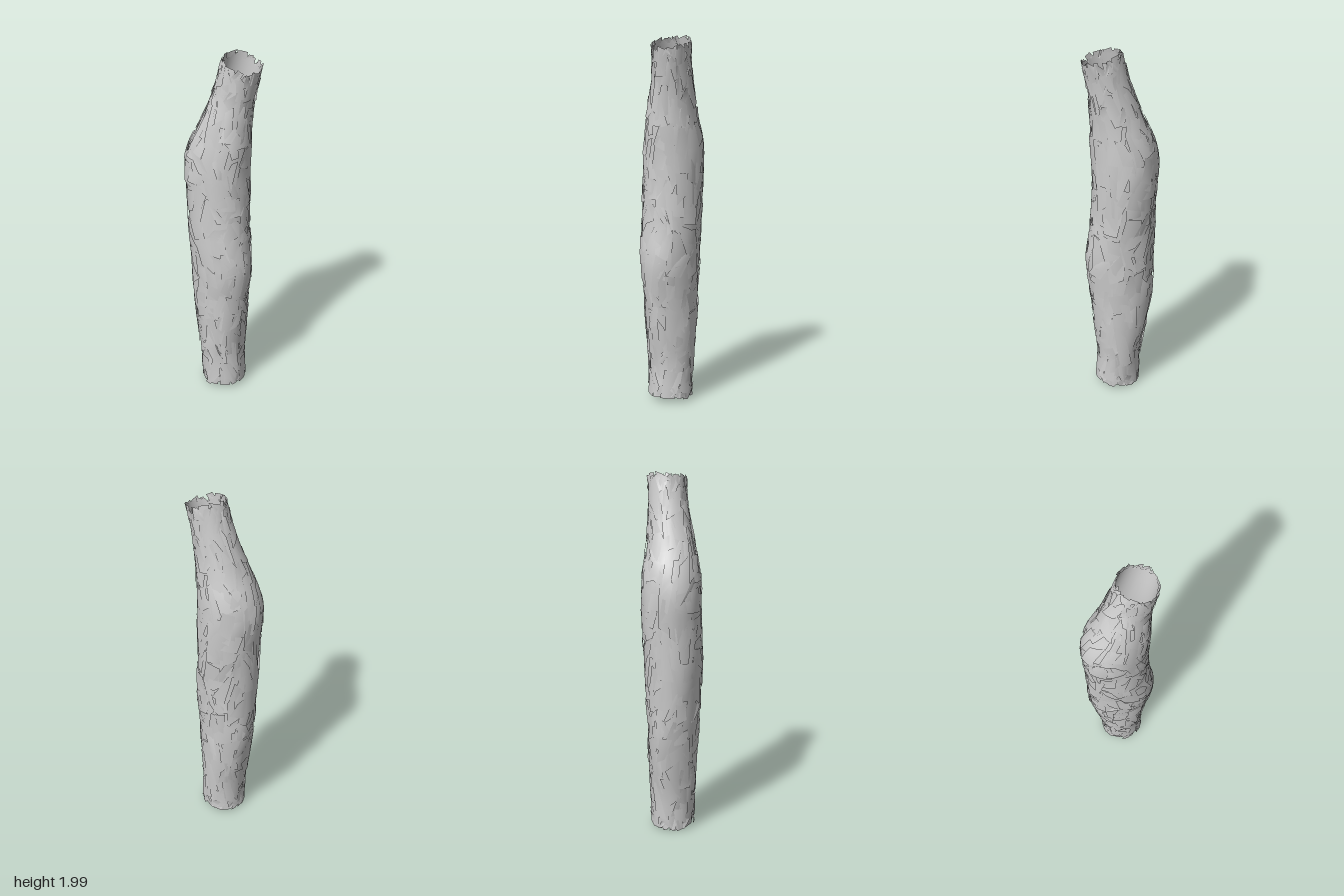
import * as THREE from 'three';
import { mergeGeometries, mergeVertices } from 'three/addons/utils/BufferGeometryUtils.js';

// Limits of the cross-section at each height: y, xMin, xMax, zMin, zMax
const rows = [
  [0, -0.11, 0.13, -0.105, 0.14], [0.2, -0.12, 0.135, -0.115, 0.13],
  [0.4, -0.13, 0.14, -0.15, 0.15], [0.6, -0.14, 0.143, -0.18, 0.172],
  [0.8, -0.152, 0.15, -0.187, 0.192], [1.0, -0.163, 0.157, -0.19, 0.165],
  [1.2, -0.158, 0.165, -0.192, 0.153], [1.4, -0.152, 0.164, -0.195, 0.155],
  [1.5, -0.138, 0.158, -0.175, 0.158], [1.6, -0.115, 0.15, -0.135, 0.156],
  [1.8, -0.065, 0.15, -0.065, 0.168], [2.0, -0.042, 0.165, -0.01, 0.197],
];
const profile = new THREE.CubicInterpolant(rows.map(r => r[0]), rows.flatMap(r => r.slice(1)), 4);

let seed = 7;
function rand(lo = 0, hi = 1) {
  seed = (seed * 16807) % 2147483647;
  return lo + (hi - lo) * (seed / 2147483647);
}

// Point on the trunk at angle a and height v, pushed outward by off
function surface(a, v, off) {
  const [x0, x1, z0, z1] = profile.evaluate(THREE.MathUtils.clamp(v, 0, 2));
  const c = Math.cos(a), s = Math.sin(a);
  // fuller shoulder at one back corner
  const corner = Math.max(0, -(c + s) / Math.SQRT2) ** 4;
  const k = 1 + 0.14 * corner * Math.exp(-(((v - 1.38) / 0.22) ** 2));
  const front = (s + 1) / 2; // both cut ends slant toward the front
  const y = v - 0.055 * front * Math.max(0, (v - 1.7) / 0.3) + 0.03 * front * Math.max(0, 1 - v / 0.3);
  return [
    (x0 + x1) / 2 + c * ((x1 - x0) / 2 * k + off),
    y,
    (z0 + z1) / 2 + s * ((z1 - z0) / 2 * k + off),
  ];
}

// Grid of quads; at(u, v, i, j) returns a position
function grid(nu, nv, at) {
  const pos = [], idx = [];
  for (let j = 0; j <= nv; j++)
    for (let i = 0; i <= nu; i++) pos.push(...at(i / nu, j / nv, i, j));
  for (let j = 0; j < nv; j++)
    for (let i = 0; i < nu; i++) {
      const p = j * (nu + 1) + i, q = p + nu + 1;
      idx.push(p, q, p + 1, p + 1, q, q + 1);
    }
  const g = new THREE.BufferGeometry();
  g.setAttribute('position', new THREE.Float32BufferAttribute(pos, 3));
  g.setIndex(idx);
  return g;
}

// Hollow inner sleeve with jagged rims
function sleeve() {
  const n = 48;
  const top = Array.from({ length: n }, () => rand(1.94, 1.985));
  const bottom = Array.from({ length: n }, () => rand(0.008, 0.03));
  const g = grid(n, 40, (u, v, i) => {
    const a = ((i % n) / n) * Math.PI * 2;
    return surface(a, THREE.MathUtils.lerp(bottom[i % n], top[i % n], v), -0.007);
  });
  const merged = mergeVertices(g, 1e-5);
  merged.computeVertexNormals();
  return merged;
}

// One crooked, slightly lifted shard of bark that follows the trunk
function shard(a, v, halfWidth, halfHeight) {
  const skew = rand(-0.2, 0.2);
  const corners = [[-1, -1], [1, -1], [-1, 1], [1, 1]].map(([su, sv]) => ({
    a: a + su * halfWidth * rand(0.3, 1.2) + sv * skew,
    v: THREE.MathUtils.clamp(v + sv * halfHeight * rand(0.4, 1.2), rand(0, 0.015), 2 - rand(0, 0.035)),
    off: rand(-0.008, 0.005),
  }));
  const mix = (key, s, t) => THREE.MathUtils.lerp(
    THREE.MathUtils.lerp(corners[0][key], corners[1][key], s),
    THREE.MathUtils.lerp(corners[2][key], corners[3][key], s), t);
  const g = grid(5, 5, (s, t) => surface(mix('a', s, t), mix('v', s, t), mix('off', s, t)));
  g.computeVertexNormals();
  return g;
}

export function createModel() {
  const group = new THREE.Group();
  group.name = 'barkTrunk';
  const material = new THREE.MeshStandardMaterial({ color: 0xcccccc, side: THREE.DoubleSide });
  const add = (name, geometry) => {
    const mesh = new THREE.Mesh(geometry, material);
    mesh.name = name;
    group.add(mesh);
  };

  add('innerSleeve', sleeve());

  // Overlapping shards in staggered bands
  const shards = [];
  const bands = 22, around = 14;
  for (let b = 0; b < bands; b++)
    for (let i = 0; i < around; i++) {
      const a = ((i + (b % 2) / 2 + rand(-0.3, 0.3)) / around) * Math.PI * 2;
      const v = ((b + 0.5 + rand(-0.4, 0.4)) / bands) * 2;
      shards.push(shard(a, v, rand(0.15, 0.38), rand(0.05, 0.14)));
    }
  add('barkShards', mergeGeometries(shards));

  // Short splinters along the two broken ends
  const splinters = [];
  for (let i = 0; i < 22; i++) {
    const a = (i / 22) * Math.PI * 2;
    splinters.push(shard(a, 1.95, 0.14, 0.05), shard(a + 0.1, 0.04, 0.16, 0.04));
  }
  add('endSplinters', mergeGeometries(splinters));

  return group;
}
